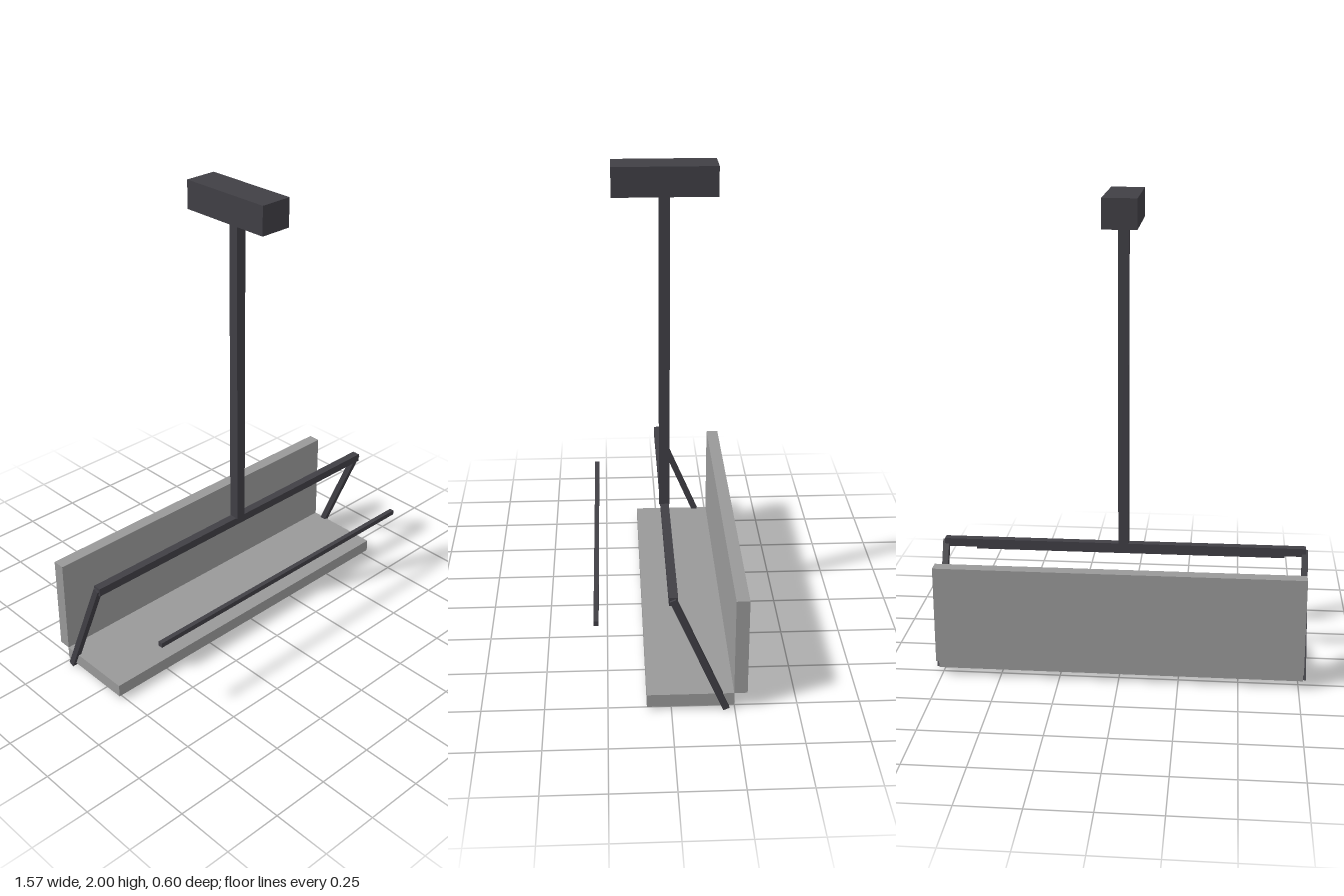
import * as THREE from 'three';

export function createModel() {
  const model = new THREE.Group();
  model.name = 'hangingBench';
  const darkMetal = new THREE.MeshStandardMaterial({ color: 0x403f45 });
  darkMetal.name = 'dark metal';
  const greyPanel = new THREE.MeshStandardMaterial({ color: 0x999999 });
  greyPanel.name = 'grey panel';

  // Box given by its extents on each axis
  function box(name, material, [x0, x1], [y0, y1], [z0, z1]) {
    const mesh = new THREE.Mesh(new THREE.BoxGeometry(x1 - x0, y1 - y0, z1 - z0), material);
    mesh.position.set((x0 + x1) / 2, (y0 + y1) / 2, (z0 + z1) / 2);
    mesh.name = name;
    model.add(mesh);
    return mesh;
  }

  // Ceiling mount and pole
  box('ceilingMount', darkMetal, [-0.07, 0.07], [1.88, 2], [-0.215, 0.205]);
  box('pole', darkMetal, [-0.022, 0.022], [0.515, 1.88], [-0.027, 0.017]);

  // Cross bar carrying the side arms
  box('crossBar', darkMetal, [-0.775, 0.775], [0.482, 0.517], [-0.024, 0.011]);

  // Slanted side arms running from the cross bar down to the seat's rear edge
  const top = new THREE.Vector3(0, 0.507, -0.004);
  const bottom = new THREE.Vector3(0, 0.005, -0.216);
  const along = bottom.clone().sub(top);
  for (const side of [-1, 1]) {
    const arm = new THREE.Mesh(new THREE.BoxGeometry(0.026, along.length(), 0.026), darkMetal);
    arm.position.copy(top).add(bottom).multiplyScalar(0.5);
    arm.position.x = side * 0.771;
    arm.rotation.x = Math.atan2(along.z, along.y);
    arm.name = side > 0 ? 'leftArm' : 'rightArm';
    model.add(arm);
  }

  // Seat and backrest panels
  box('seat', greyPanel, [-0.77, 0.77], [0.015, 0.07], [-0.248, 0.097]);
  box('backrest', greyPanel, [-0.77, 0.77], [0.07, 0.49], [-0.3, -0.247]);

  // Thin front safety bar
  box('safetyBar', darkMetal, [-0.7, 0.7], [0.35, 0.371], [0.28, 0.3]);

  return model;
}
